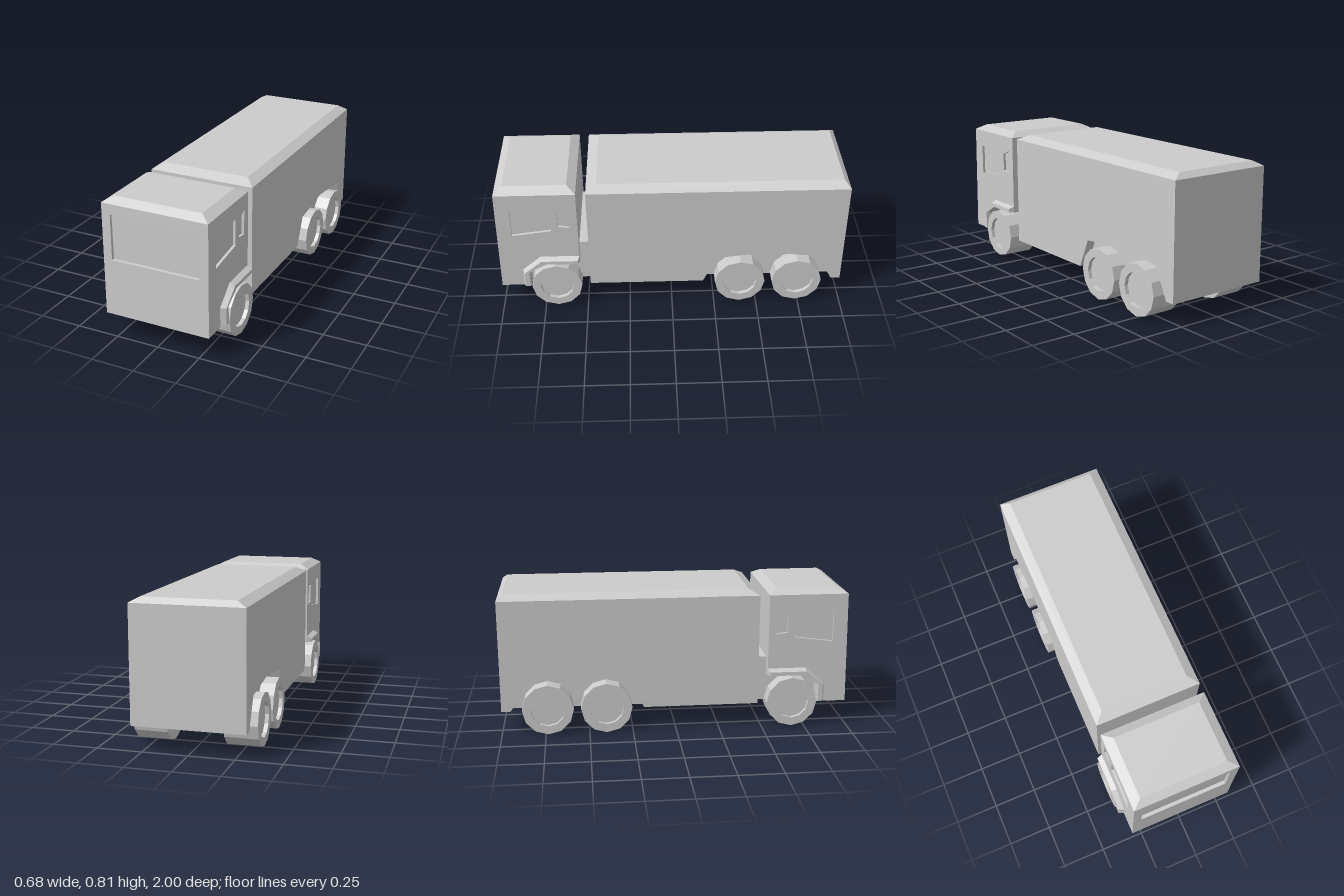
import * as THREE from 'three';

const material = new THREE.MeshStandardMaterial({ color: 0xcccccc, flatShading: true });
const BOTTOM = 0.135, EAVE = 0.78, TOP = 0.81;
const HALF = 0.31, CORE = 0.255, SKIN = 0.295;

const vecs = (pts) => pts.map(([a, b]) => new THREE.Vector2(a, b));

function makeShape(points, holes = []) {
  const shape = new THREE.Shape(vecs(points));
  shape.holes = holes.map((h) => new THREE.Path(vecs(h)));
  return shape;
}

// Extrudes a (z, y) outline along x, from x0 to x1
function sideExtrude(points, x0, x1, holes) {
  const geo = new THREE.ExtrudeGeometry(makeShape(points, holes), { depth: x1 - x0, bevelEnabled: false });
  return geo.rotateY(-Math.PI / 2).translate(x1, 0, 0);
}

// Same outline between |x| = inner and outer, on side s
function slab(points, s, inner, outer, holes) {
  return s > 0 ? sideExtrude(points, inner, outer, holes) : sideExtrude(points, -outer, -inner, holes);
}

// Shallow roof with bevelled edges
function roofGeometry(z0, z1, topZ0, topZ1) {
  const geo = new THREE.BoxGeometry(1, 1, 1);
  const p = geo.attributes.position;
  for (let i = 0; i < p.count; i++) {
    const up = p.getY(i) > 0;
    const z = p.getZ(i) > 0 ? (up ? topZ1 : z1) : (up ? topZ0 : z0);
    p.setXYZ(i, Math.sign(p.getX(i)) * (up ? CORE : HALF), up ? TOP : EAVE, z);
  }
  geo.computeVertexNormals();
  return geo;
}

function add(parent, name, geo) {
  const mesh = new THREE.Mesh(geo, material);
  mesh.name = name;
  parent.add(mesh);
  return mesh;
}

const rect = (z0, z1, y0, y1) => [[z0, y0], [z1, y0], [z1, y1], [z0, y1]];

function createCab() {
  const cab = new THREE.Group();
  cab.name = 'cab';
  const back = 0.535, front = 0.975;

  add(cab, 'cabCore', sideExtrude(rect(back, front, BOTTOM, EAVE), -CORE, CORE));
  add(cab, 'cabRoof', roofGeometry(back, 0.99, 0.585, 0.943));

  // Front panel, leaning slightly back, with a recessed windscreen
  const panel = new THREE.ExtrudeGeometry(
    makeShape(rect(-HALF, HALF, BOTTOM, EAVE), [rect(-0.26, 0.26, 0.46, 0.72)]),
    { depth: 1 - front, bevelEnabled: false }
  ).translate(0, 0, front);
  const p = panel.attributes.position;
  for (let i = 0; i < p.count; i++) {
    if (p.getZ(i) > 0.99) p.setZ(i, 1 - 0.01 * (p.getY(i) - BOTTOM) / (EAVE - BOTTOM));
  }
  panel.computeVertexNormals();
  add(cab, 'frontPanel', panel);

  // Side walls: notched for the wheel, outer skin pierced for the windows
  const wall = [[front, BOTTOM], [front, EAVE], [back, EAVE], [back, 0.305],
    [0.73, 0.305], [0.825, 0.25], [0.825, BOTTOM]];
  const windows = [
    [[0.91, 0.68], [0.685, 0.68], [0.685, 0.53], [0.91, 0.5]],
    [[0.645, 0.665], [0.58, 0.69], [0.58, 0.55], [0.645, 0.56]],
  ];
  // Fender outline where it meets the wall, and its chamfered outer face
  const fenderBase = [[0.87, BOTTOM], [0.87, 0.25], [0.76, 0.345], [back, 0.345],
    [back, 0.305], [0.73, 0.305], [0.825, 0.25], [0.825, BOTTOM]];
  const fenderTip = [[0.857, 0.147], [0.857, 0.245], [0.755, 0.33], [0.545, 0.33],
    [0.545, 0.308], [0.732, 0.308], [0.83, 0.25], [0.83, 0.147]];

  for (const s of [1, -1]) {
    const side = s > 0 ? 'left' : 'right';
    add(cab, side + 'InnerWall', slab(wall, s, CORE, SKIN));
    add(cab, side + 'OuterWall', slab(wall, s, SKIN, HALF, windows));

    const fender = slab(fenderBase, s, HALF, 0.34);
    const f = fender.attributes.position;
    for (let i = 0; i < f.count; i++) {
      if (Math.abs(f.getX(i)) < 0.325) continue;
      const k = fenderBase.findIndex(([z, y]) => Math.hypot(z - f.getZ(i), y - f.getY(i)) < 1e-4);
      f.setZ(i, fenderTip[k][0]);
      f.setY(i, fenderTip[k][1]);
    }
    fender.computeVertexNormals();
    add(cab, side + 'Fender', fender);
  }
  return cab;
}

function createCargoBox() {
  const box = new THREE.Group();
  box.name = 'cargoBox';
  add(box, 'cargoCore', sideExtrude(rect(-1, 0.48, BOTTOM, EAVE), -CORE, CORE));
  add(box, 'cargoRoof', roofGeometry(-1, 0.48, -0.967, 0.42));

  // Side walls with a shared arch over both rear wheels
  const wall = [[0.48, BOTTOM], [0.48, EAVE], [-1, EAVE], [-1, BOTTOM], [-0.945, BOTTOM],
    [-0.86, 0.305], [-0.555, 0.34], [-0.26, 0.305], [-0.185, BOTTOM]];
  add(box, 'leftCargoWall', slab(wall, 1, CORE, HALF));
  add(box, 'rightCargoWall', slab(wall, -1, CORE, HALF));
  return box;
}

// Twelve-sided wheel with a recessed rim, spun around the x axis
function wheelGeometry(s) {
  const profile = [[0, 0.155], [0.147, 0.155], [0.147, 0.34], [0.098, 0.34], [0.098, 0.318], [0, 0.318]];
  return new THREE.LatheGeometry(vecs(profile), 12).rotateZ(-s * Math.PI / 2);
}

export function createModel() {
  const truck = new THREE.Group();
  truck.name = 'truck';
  truck.add(createCab(), createCargoBox());

  // Low block joining cab and cargo box
  add(truck, 'chassisLink', sideExtrude(rect(0.47, 0.545, BOTTOM + 0.001, 0.4), -0.25, 0.25));

  const axles = { front: 0.675, middle: -0.4, rear: -0.735 };
  for (const [axle, z] of Object.entries(axles)) {
    for (const s of [1, -1]) {
      const wheel = add(truck, axle + (s > 0 ? 'Left' : 'Right') + 'Wheel', wheelGeometry(s));
      wheel.position.set(0, 0.147, z);
    }
  }
  return truck;
}
